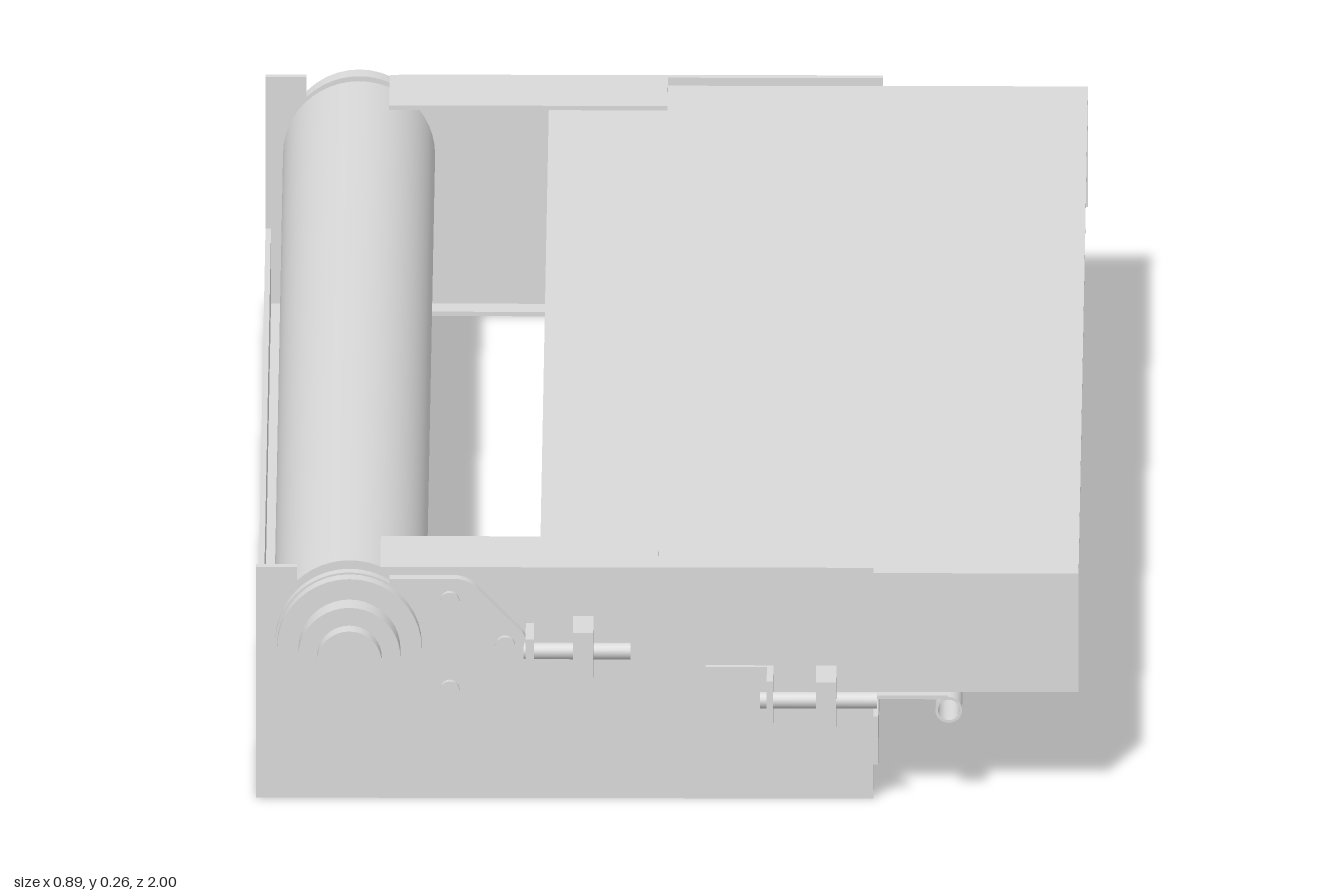
import * as THREE from 'three';

export function createModel() {
  const model = new THREE.Group();
  const steel = new THREE.MeshStandardMaterial({ color: 0xd9d9d9, side: THREE.DoubleSide });
  steel.name = 'light grey steel';

  const add = (name, geometry, x = 0, y = 0, z = 0) => {
    const mesh = new THREE.Mesh(geometry, steel);
    mesh.name = name;
    mesh.position.set(x, y, z);
    model.add(mesh);
    return mesh;
  };
  // box given by its limits on each axis
  const box = (name, x0, x1, y0, y1, z0, z1) =>
    add(name, new THREE.BoxGeometry(x1 - x0, y1 - y0, Math.abs(z1 - z0)),
      (x0 + x1) / 2, (y0 + y1) / 2, (z0 + z1) / 2);
  // cylinder lying along z or x
  const rodZ = (name, r, x, y, z0, z1, sides = 40) =>
    add(name, new THREE.CylinderGeometry(r, r, Math.abs(z1 - z0), sides).rotateX(Math.PI / 2), x, y, (z0 + z1) / 2);
  const rodX = (name, r, x0, x1, y, z, sides = 16) =>
    add(name, new THREE.CylinderGeometry(r, r, x1 - x0, sides).rotateZ(Math.PI / 2), (x0 + x1) / 2, y, z);
  // extruded outline centred on z
  const plate = (name, shape, thickness, z) =>
    add(name, new THREE.ExtrudeGeometry(shape, { depth: thickness, bevelEnabled: false, curveSegments: 20 })
      .translate(0, 0, -thickness / 2), 0, 0, z);

  const rollerX = -0.343, rollerY = 0.178;

  // main roller
  rodZ('roller', 0.082, rollerX, rollerY, -0.89, 0.89, 48);

  // bed plate
  box('bedPlate', -0.138, 0.443, 0.246, 0.251, -0.905, 0.905);

  // cross members: upright web and inward foot with a small lip
  box('rearCrossWeb', -0.444, -0.438, 0, 0.09, -0.902, 0.902);
  box('rearCrossFoot', -0.444, -0.385, 0, 0.006, -0.902, 0.902);
  box('rearCrossLip', -0.391, -0.385, 0, 0.025, -0.902, 0.902);
  box('frontCrossWeb', 0.216, 0.222, 0, 0.09, -0.902, 0.902);
  box('frontCrossFoot', 0.14, 0.222, 0, 0.006, -0.902, 0.902);
  box('frontCrossLip', 0.14, 0.146, 0, 0.035, -0.902, 0.902);
  box('frontCrossFacing', 0.222, 0.227, 0.038, 0.092, -0.914, 0.914);

  // sliding sheet that ends in a round tube
  box('slidingSheet', 0.05, 0.302, 0.112, 0.116, -0.915, 0.915);
  const ring = new THREE.Shape().absarc(0.303, 0.1, 0.0145, 0, Math.PI * 2);
  ring.holes.push(new THREE.Path().absarc(0.303, 0.1, 0.0115, 0, Math.PI * 2, true));
  plate('edgeTube', ring, 1.83, 0);

  // side plate outline, with an open slot for the roller shaft
  const side = new THREE.Shape();
  side.moveTo(-0.444, 0);
  side.lineTo(0.222, 0);
  side.lineTo(0.222, 0.26);
  side.lineTo(-0.30, 0.26);
  side.lineTo(-0.30, 0.178);
  side.absarc(-0.35, 0.178, 0.05, 0, -Math.PI, true);
  side.lineTo(-0.40, 0.26);
  side.lineTo(-0.444, 0.26);
  side.closePath();

  // bearing carrier outline: round end tapering to a blunt nose
  const carrier = new THREE.Shape();
  carrier.moveTo(-0.343, 0.1);
  carrier.lineTo(-0.228, 0.103);
  carrier.quadraticCurveTo(-0.215, 0.104, -0.205, 0.114);
  carrier.lineTo(-0.157, 0.165);
  carrier.quadraticCurveTo(-0.147, 0.178, -0.157, 0.191);
  carrier.lineTo(-0.205, 0.24);
  carrier.quadraticCurveTo(-0.215, 0.25, -0.228, 0.251);
  carrier.lineTo(-0.30, 0.251);
  carrier.absarc(rollerX, rollerY, 0.08, 1.0, Math.PI * 1.5, false);

  for (const s of [1, -1]) {
    // end plates with folded top and bottom edges, and the bed's downturned ends
    plate('sidePlate', side, 0.01, s * 0.91);
    box('sideTopFlange', -0.31, -0.01, 0.255, 0.26, s * 0.8, s * 0.914);
    box('sideBottomFlange', -0.438, 0.216, 0, 0.005, s * 0.875, s * 0.914);
    box('bedEndFlange', -0.138, 0.443, 0.117, 0.25, s * 0.899, s * 0.904);

    // bearing carrier, stepped hub and bolts
    plate('bearingCarrier', carrier, 0.014, s * 0.922);
    rodZ('bearingHousing', 0.078, rollerX, rollerY, s * 0.915, s * 0.947);
    rodZ('bearingCollar', 0.055, rollerX, rollerY, s * 0.94, s * 0.978);
    rodZ('shaftEnd', 0.035, rollerX, rollerY, s * 0.88, s * 1.0);
    for (const [x, y] of [[-0.235, 0.227], [-0.235, 0.127], [-0.175, 0.177]])
      rodZ('carrierBolt', 0.0105, x, y, s * 0.92, s * 0.936, 20);

    // roller tension adjuster
    rodX('tensionBolt', 0.009, -0.155, -0.04, 0.177, s * 0.952);
    box('tensionBoltTab', -0.153, -0.144, 0.159, 0.197, s * 0.915, s * 0.976);
    box('tensionBlock', -0.102, -0.08, 0.152, 0.205, s * 0.915, s * 0.978);

    // sheet adjuster
    box('sheetBracket', 0.041, 0.114, 0.095, 0.15, s * 0.914, s * 0.922);
    box('sheetBracketTab', 0.107, 0.114, 0.095, 0.15, s * 0.915, s * 0.976);
    rodX('sheetBolt', 0.009, 0.1, 0.226, 0.122, s * 0.952);
    box('sheetBlock', 0.16, 0.182, 0.095, 0.15, s * 0.915, s * 0.978);
  }
  return model;
}
